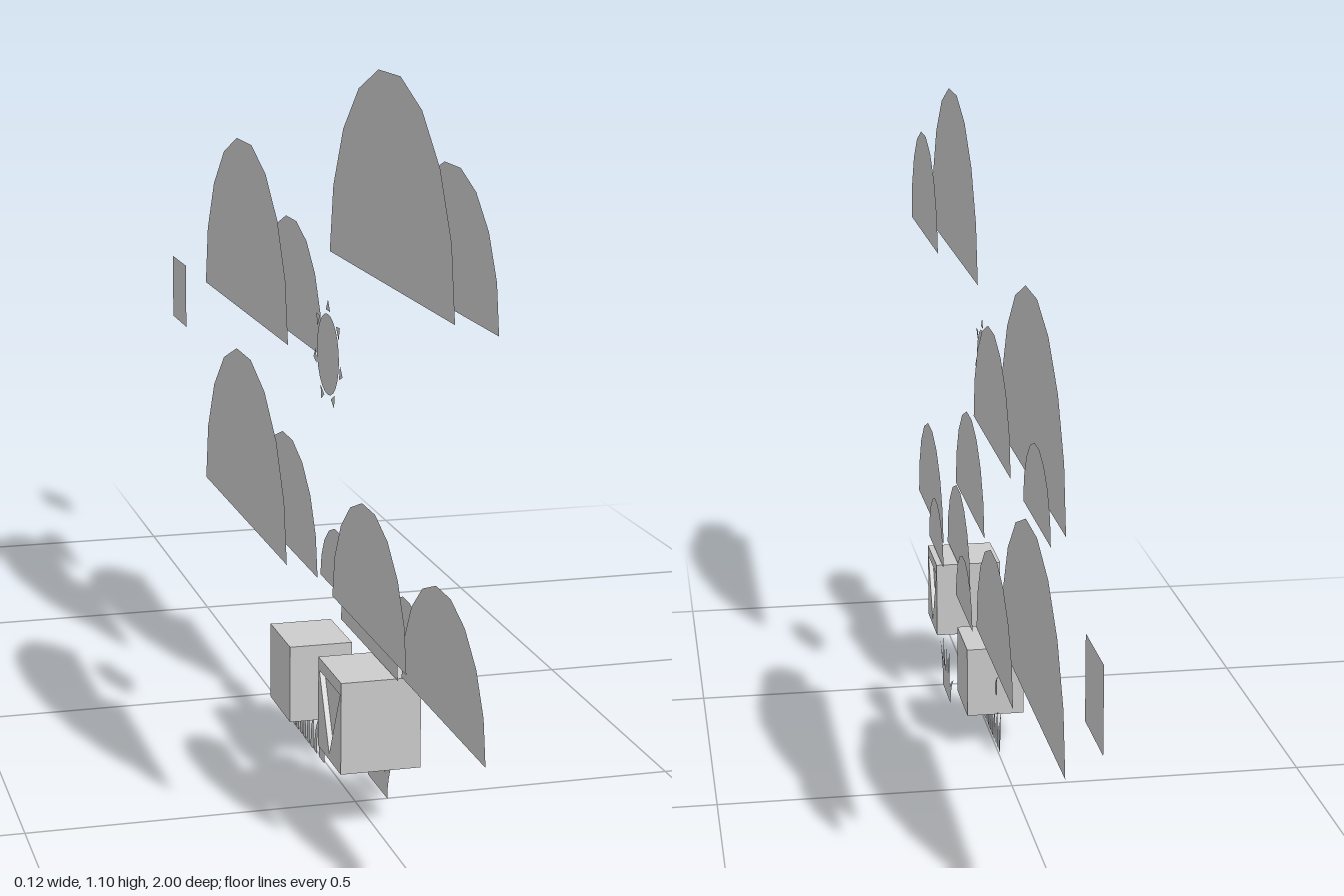
import * as THREE from 'three';

const solid = new THREE.MeshStandardMaterial({ color: 0xcccccc, flatShading: true });
const sheet = new THREE.MeshStandardMaterial({ color: 0xcccccc, side: THREE.DoubleSide });

export function createModel() {
  const model = new THREE.Group();

  const add = (name, geometry, material, x = 0, y = 0, z = 0, parent = model) => {
    const mesh = new THREE.Mesh(geometry, material);
    mesh.name = name;
    mesh.position.set(x, y, z);
    parent.add(mesh);
    return mesh;
  };
  // Flat cut-out standing in a plane of constant x; its local x runs along z
  const cutout = (name, geometry, x, y, z, parent) =>
    add(name, geometry.rotateY(-Math.PI / 2), sheet, x, y, z, parent);
  const group = (name) => {
    const g = new THREE.Group();
    g.name = name;
    model.add(g);
    return g;
  };

  // Half discs: [x, base y, centre z, radius]
  const layers = {
    frontCloud: [[0.01, 0.806, 0.607, 0.3], [0.04, 0.806, 0.797, 0.195]],
    rearCloud: [[0.01, 0.612, -0.242, 0.3], [0.04, 0.612, -0.037, 0.195], [0.04, 0.612, -0.468, 0.118]],
    frontBushes: [[0.03, 0.237, 0.815, 0.185], [-0.02, 0.305, 0.625, 0.187],
      [0.02, 0.237, 0.495, 0.15], [0.05, 0.237, 0.585, 0.102]],
    rearBushes: [[0.01, 0.24, -0.248, 0.3], [0.04, 0.24, -0.06, 0.195], [0.05, 0.24, 0.217, 0.101]],
  };
  // the small rear cloud puff spans both sides of the origin
  for (const [name, discs] of Object.entries(layers)) {
    const g = group(name);
    discs.forEach(([x, y, z, r], i) =>
      cutout(`${name}Puff${i + 1}`, new THREE.CircleGeometry(r, 9, 0, Math.PI), x, y, z, g));
  }

  // Sun with seven small triangular rays
  const sun = group('sun');
  cutout('sunDisc', new THREE.CircleGeometry(0.062, 24), -0.003, 0.655, 0.345, sun);
  for (let i = 0; i < 7; i++) {
    const ray = new THREE.Shape([
      new THREE.Vector2(-0.012, 0.067), new THREE.Vector2(0.012, 0.067), new THREE.Vector2(0, 0.084),
    ]);
    const g = new THREE.ShapeGeometry(ray).rotateZ((i * Math.PI * 2) / 7);
    cutout('sunRay', g, -0.003, 0.655, 0.345, sun);
  }

  // Lone square panel at the back
  cutout('squarePanel', new THREE.PlaneGeometry(0.123, 0.123), 0.045, 0.524, -0.937);

  // Front block, with a triangular recess on each side
  const block = group('frontBlock');
  const w = 0.062, h = 0.069, core = 0.052, depth = 0.008;
  add('blockCore', new THREE.BoxGeometry(core * 2, h * 2, w * 2), solid, 0, 0.166, 0.568, block);
  const face = new THREE.Shape([[-w, -h], [w, -h], [w, h], [-w, h]].map((p) => new THREE.Vector2(...p)));
  face.holes.push(new THREE.Path([[-0.056, 0.05], [0.056, 0.05], [0, -0.06]].map((p) => new THREE.Vector2(...p))));
  for (const x of [core + depth, -core]) {
    const slab = new THREE.ExtrudeGeometry(face, { depth, bevelEnabled: false }).rotateY(-Math.PI / 2);
    add('recessedSide', slab, solid, x, 0.166, 0.568, block);
  }

  // Rear block raised on grass
  add('rearBlock', new THREE.BoxGeometry(0.1, 0.123, 0.123), solid, 0, 0.122, 0.242);

  // Curved blade from a base at z to a tip
  const blade = (name, x, z, width, tipZ, tipY, baseY, parent) => {
    const s = new THREE.Shape();
    const midY = baseY + (tipY - baseY) * 0.55;
    s.moveTo(z - width / 2, baseY);
    s.quadraticCurveTo(z - width / 2, midY, tipZ, tipY);
    s.quadraticCurveTo(z + width / 2, midY, z + width / 2, baseY);
    cutout(name, new THREE.ShapeGeometry(s, 5), x, 0, 0, parent);
  };

  // Grass: [base z, tip z, tip y]
  const tufts = {
    frontGrass: { x: 0.05, width: 0.026, blades: [[0.488, 0.537, 0.078], [0.474, 0.5, 0.1],
      [0.46, 0.468, 0.062], [0.445, 0.45, 0.096], [0.43, 0.408, 0.102], [0.412, 0.36, 0.06]] },
    rearGrass: { x: -0.003, width: 0.016, blades: [[0.328, 0.345, 0.12], [0.312, 0.332, 0.07],
      [0.284, 0.303, 0.065], [0.262, 0.278, 0.075], [0.238, 0.246, 0.062], [0.218, 0.206, 0.075],
      [0.196, 0.186, 0.062], [0.174, 0.176, 0.07], [0.156, 0.137, 0.082]] },
  };
  for (const [name, { x, width, blades }] of Object.entries(tufts)) {
    const g = group(name);
    for (const [z, tipZ, tipY] of blades) blade('grassBlade', x, z, width, tipZ, tipY, 0, g);
  }

  // Small leaf sticking out behind the rear block
  blade('leaf', 0, 0.178, 0.016, 0.157, 0.14, 0.1, model);

  return model;
}
